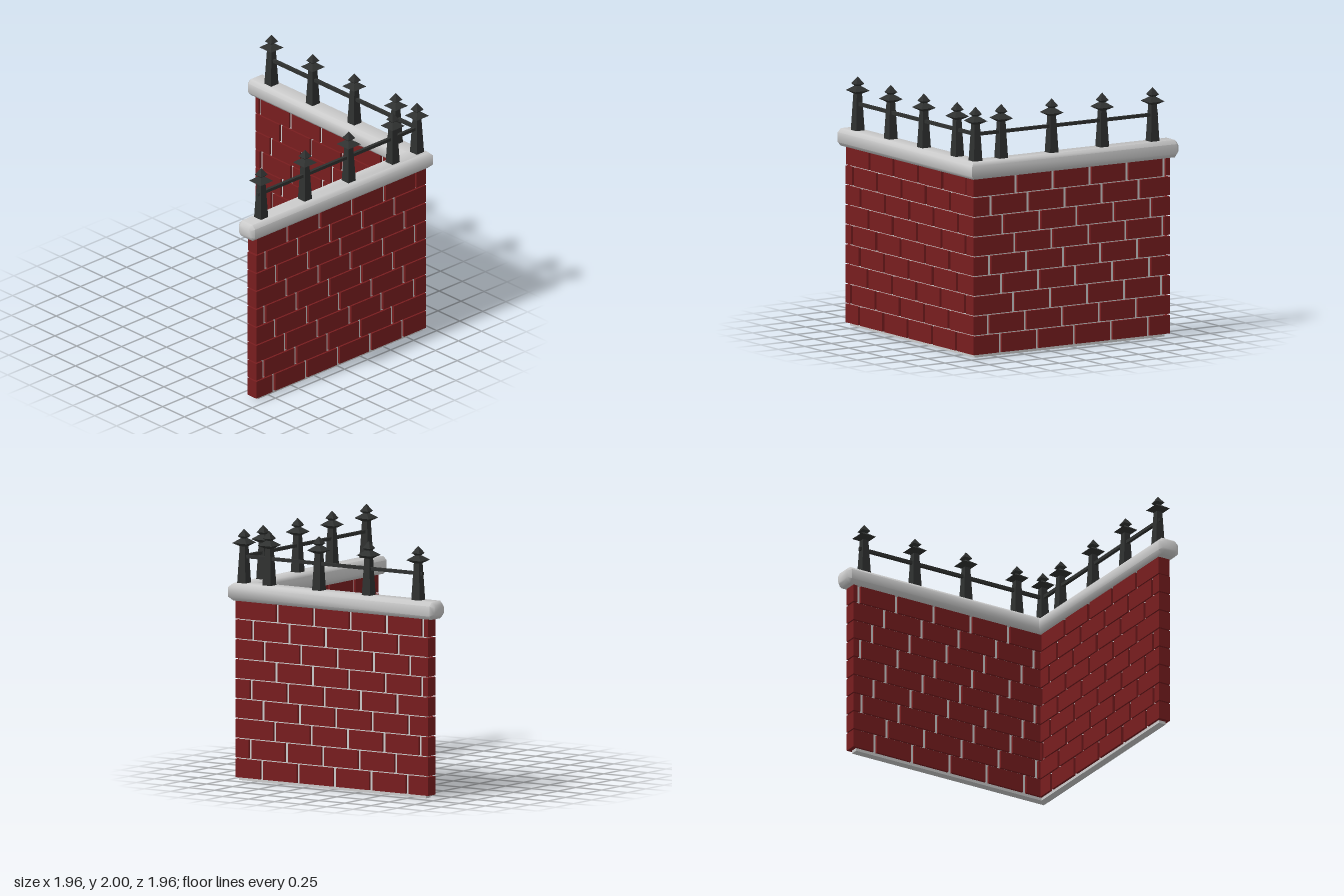
import * as THREE from 'three';
import { toCreasedNormals } from 'three/addons/utils/BufferGeometryUtils.js';

const brickMat = new THREE.MeshStandardMaterial({ color: 0x781d1f });
const ironMat = new THREE.MeshStandardMaterial({ color: 0x2f3130, flatShading: true });
const stoneMat = new THREE.MeshStandardMaterial({ color: 0xcccccc });

const AXIS = 0.89; // centre line of both walls

// Box given by its lower and upper corners
function box(name, lo, hi, mat) {
  const size = hi.map((v, i) => v - lo[i]);
  const mesh = new THREE.Mesh(new THREE.BoxGeometry(...size), mat);
  mesh.position.set(...hi.map((v, i) => (v + lo[i]) / 2));
  mesh.name = name;
  return mesh;
}

// Box running along 'x' or 'z', between a and b on that axis
function runBox(name, axis, a, b, y0, y1, c0, c1, mat) {
  return axis === 'x'
    ? box(name, [a, y0, c0], [b, y1, c1], mat)
    : box(name, [c0, y0, a], [c1, y1, b], mat);
}

// Courses of through bricks around a recessed mortar core
function wall(name, axis, start, end, firstJoint, dir) {
  const group = new THREE.Group();
  group.name = name;
  group.add(runBox('mortar', axis, start + 0.035, end - 0.02, 0, 1.45, 0.857, 0.92, stoneMat));
  const pitch = 0.349, gap = 0.03;
  for (let row = 0; row < 9; row++) {
    const y = 0.024 + row * 0.158;
    const joint = dir * (firstJoint - 0.1122 * row);
    for (let k = -8; k <= 8; k++) {
      const a = Math.max(start, joint + k * pitch + gap / 2);
      const b = Math.min(end, joint + (k + 1) * pitch - gap / 2);
      if (b - a > 0.01) group.add(runBox('brick', axis, a, b, y, y + 0.147, 0.838, 0.94, brickMat));
    }
  }
  return group;
}

// Chamfered stone coping swept round the mitred corner
function coping() {
  const ring = (w, h, c) => [[w, -h + c], [w, h - c], [w - c, h], [-w + c, h],
    [-w, h - c], [-w, -h + c], [-w + c, -h], [w - c, -h]];
  const full = ring(0.09, 0.07, 0.03), small = ring(0.065, 0.045, 0.02);
  const stations = [
    [small, (a, y) => [-0.98, y, AXIS + a]],
    [full, (a, y) => [-0.95, y, AXIS + a]],
    [full, (a, y) => [AXIS + a, y, AXIS + a]],
    [full, (a, y) => [AXIS + a, y, -0.95]],
    [small, (a, y) => [AXIS + a, y, -0.98]],
  ];
  const pos = [], idx = [], n = 8;
  for (const [pts, place] of stations) for (const [a, y] of pts) pos.push(...place(a, 1.5 + y));
  for (let s = 0; s < stations.length - 1; s++) {
    for (let i = 0; i < n; i++) {
      const p = s * n + i, q = s * n + (i + 1) % n;
      idx.push(p, p + n, q, q, p + n, q + n);
    }
  }
  const last = (stations.length - 1) * n;
  for (let i = 1; i < n - 1; i++) idx.push(0, i, i + 1, last, last + i + 1, last + i);
  const geo = new THREE.BufferGeometry();
  geo.setAttribute('position', new THREE.Float32BufferAttribute(pos, 3));
  geo.setIndex(idx);
  const mesh = new THREE.Mesh(toCreasedNormals(geo, 0.9), stoneMat);
  mesh.name = 'coping';
  return mesh;
}

// Square tapered post with a collar and a pointed tip
const postProfile = [[0, 1.56], [0.04, 1.56], [0.025, 1.862], [0.068, 1.888],
  [0.018, 1.925], [0.037, 1.942], [0, 2]];
const postGeo = new THREE.LatheGeometry(
  postProfile.map(([half, y]) => new THREE.Vector2(half * Math.SQRT2, y)), 4);
postGeo.rotateY(Math.PI / 4);

function post(x, z) {
  const mesh = new THREE.Mesh(postGeo, ironMat);
  mesh.position.set(x, 0, z);
  mesh.name = 'fencePost';
  return mesh;
}

export function createModel() {
  const model = new THREE.Group();
  model.name = 'brickCornerWall';
  model.add(wall('frontWall', 'x', -0.9, 0.94, -0.707, 1));
  model.add(wall('sideWall', 'z', -0.91, 0.94, -0.688, -1));
  model.add(coping());

  const fence = new THREE.Group();
  fence.name = 'fence';
  for (const x of [-0.8, -0.325, 0.15, 0.627, AXIS]) fence.add(post(x, AXIS));
  for (const z of [-0.78, -0.305, 0.172, 0.648]) fence.add(post(AXIS, z));
  fence.add(runBox('frontRail', 'x', -0.84, AXIS, 1.768, 1.794, AXIS - 0.013, AXIS + 0.013, ironMat));
  fence.add(runBox('sideRail', 'z', -0.825, AXIS, 1.768, 1.794, AXIS - 0.013, AXIS + 0.013, ironMat));
  model.add(fence);
  return model;
}
